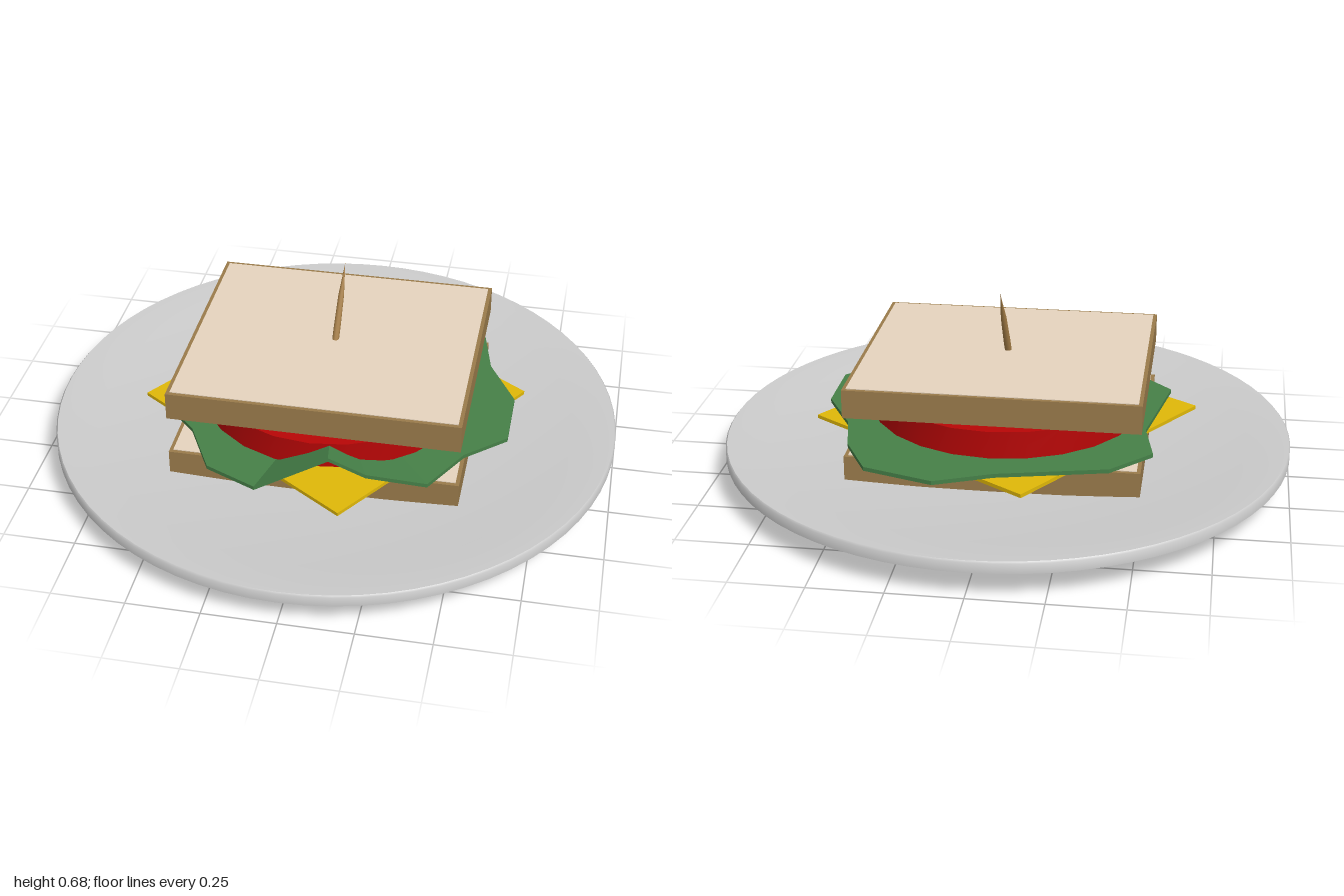
import * as THREE from 'three';
import { toCreasedNormals } from 'three/addons/utils/BufferGeometryUtils.js';

const material = (color, extra = {}) => new THREE.MeshStandardMaterial({ color, ...extra });

function addMesh(parent, name, geometry, mat) {
  const mesh = new THREE.Mesh(geometry, mat);
  mesh.name = name;
  parent.add(mesh);
  return mesh;
}

// Bread slice: crust block with a slightly inset crumb on both faces
function breadSlice(name, y) {
  const slice = new THREE.Group();
  slice.name = name;
  addMesh(slice, 'crust', new THREE.BoxGeometry(1, 0.1, 0.87), material(0x9a7b4b));
  addMesh(slice, 'crumb', new THREE.BoxGeometry(0.974, 0.105, 0.844), material(0xe6d4be));
  slice.position.y = y;
  return slice;
}

// Thin leaf: a fan from the centre to a ragged rim of [x, z, lift] points,
// listed counter-clockwise as seen from above
function leafGeometry(rim, top, thickness) {
  const positions = [];
  const at = ([x, z, lift = 0], bottom) => [x, top + lift - (bottom ? thickness : 0), z];
  const tri = (...corners) => corners.forEach((c) => positions.push(...c));
  const centre = [0, 0];
  rim.forEach((a, i) => {
    const b = rim[(i + 1) % rim.length];
    tri(at(centre), at(a), at(b));
    tri(at(centre, true), at(b, true), at(a, true));
    tri(at(a), at(b, true), at(b));
    tri(at(a), at(a, true), at(b, true));
  });
  const geometry = new THREE.BufferGeometry();
  geometry.setAttribute('position', new THREE.Float32BufferAttribute(positions, 3));
  geometry.computeVertexNormals();
  return geometry;
}

export function createModel() {
  const model = new THREE.Group();
  model.name = 'sandwichOnPlate';

  // Dished plate with a solid round foot
  const plateProfile = [
    [0, 0], [0.05, 0.005], [0.675, 0.007], [0.675, 0.052], [1, 0.09], [1, 0.125],
    [0.995, 0.131], [0.95, 0.129], [0.85, 0.118], [0.7, 0.102], [0.5, 0.09], [0.25, 0.083], [0, 0.08],
  ].map(([r, y]) => new THREE.Vector2(r, y));
  addMesh(model, 'plate', toCreasedNormals(new THREE.LatheGeometry(plateProfile, 72), 0.9),
    material(0xcccccc));

  model.add(breadSlice('bottomBread', 0.135));
  model.add(breadSlice('topBread', 0.377));

  // Cheese square, turned so its corners stick out
  const cheese = addMesh(model, 'cheese', new THREE.BoxGeometry(0.955, 0.013, 0.955), material(0xe0b808));
  cheese.position.y = 0.191;
  cheese.rotation.y = -0.59;

  // Lettuce leaf with one fold lifted at the front
  const rim = [
    [0.635, -0.04], [0.53, -0.23], [0.49, -0.41], [0.4, -0.58], [0.16, -0.655],
    [-0.03, -0.575], [-0.4, -0.49], [-0.535, -0.35], [-0.5, -0.16], [-0.57, 0.21],
    [-0.44, 0.34], [-0.34, 0.53], [-0.16, 0.61], [0.08, 0.56, 0.115],
    [0.2, 0.53, 0.04], [0.4, 0.49], [0.5, 0.31], [0.635, 0.19],
  ];
  addMesh(model, 'lettuce', leafGeometry(rim, 0.222, 0.014),
    material(0x468048, { flatShading: true }));

  // Tomato slice
  const tomato = addMesh(model, 'tomato',
    toCreasedNormals(new THREE.CylinderGeometry(0.478, 0.478, 0.095, 24), 0.6), material(0xb80606));
  tomato.position.y = 0.278;

  // Pointed pick leaning backward through the filling
  const tip = new THREE.Vector3(0.012, 0.675, -0.108);
  const end = new THREE.Vector3(-0.018, 0.1, 0.15);
  const axis = tip.clone().sub(end);
  const length = axis.length();
  const pickProfile = [[0, -0.5], [0.01, -0.3], [0.012, 0], [0.012, 0.15], [0.01, 0.32], [0, 0.5]]
    .map(([r, t]) => new THREE.Vector2(r, t * length));
  const pick = addMesh(model, 'pick', new THREE.LatheGeometry(pickProfile, 10), material(0xa88048));
  pick.position.copy(tip).add(end).multiplyScalar(0.5);
  pick.quaternion.setFromUnitVectors(new THREE.Vector3(0, 1, 0), axis.normalize());

  return model;
}
